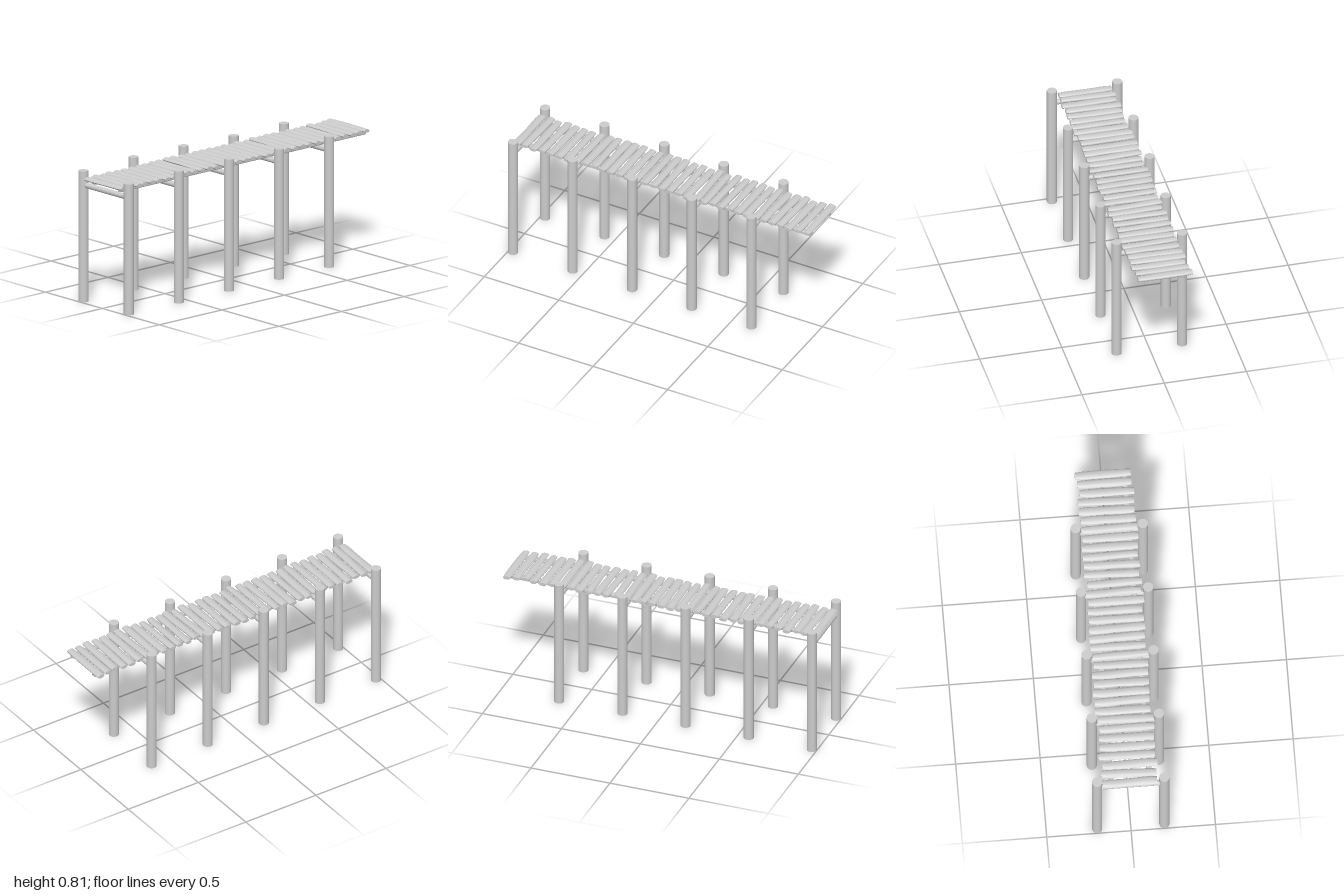
import * as THREE from 'three';
import { RoundedBoxGeometry } from 'three/addons/geometries/RoundedBoxGeometry.js';

const material = new THREE.MeshStandardMaterial({ color: 0xcccccc });

// small seeded generator, returns -1..1
let seed = 7;
const jitter = () => {
  seed = (seed * 16807) % 2147483647;
  return (seed / 2147483647) * 2 - 1;
};

function add(parent, name, geometry, x, y, z) {
  const mesh = new THREE.Mesh(geometry, material);
  mesh.name = name;
  mesh.position.set(x, y, z);
  parent.add(mesh);
  return mesh;
}

// flattened log lying along x, slightly bowed, swelling in the middle and worn at the ends
function plankGeometry(length, halfWidth, halfHeight) {
  const g = new THREE.CylinderGeometry(1, 1, length, 12, 8);
  g.rotateZ(Math.PI / 2);
  const p = g.attributes.position;
  const phase = jitter() * 3, bow = jitter() * 0.0015, taper = jitter() * 0.05;
  for (let i = 0; i < p.count; i++) {
    const t = p.getX(i) / (length / 2);
    const end = Math.abs(t) > 0.99 ? 0.86 : 1;
    const swell = end * (1 + taper * t + 0.04 * Math.sin(t * 4 + phase));
    p.setY(i, p.getY(i) * halfHeight * swell + bow * (1 - t * t));
    p.setZ(i, p.getZ(i) * halfWidth * swell + bow * Math.sin(t * 3));
  }
  g.computeVertexNormals();
  return g;
}

export function createModel() {
  const model = new THREE.Group();
  model.name = 'pier';
  seed = 7;

  // pairs of posts, each joined by a round crossbeam
  const tops = [0.80, 0.812, 0.807, 0.797, 0.80];
  tops.forEach((top, i) => {
    const z = 0.97 - i * 0.4;
    for (const side of [-1, 1]) {
      const h = top - (side > 0 && i === 1 ? 0.005 : 0);
      add(model, side > 0 ? 'leftPost' : 'rightPost',
        new THREE.CylinderGeometry(0.03, 0.03, h, 24), side * 0.199, h / 2, z);
    }
    const beam = new THREE.CylinderGeometry(0.0165, 0.0165, 0.345, 16);
    beam.rotateZ(Math.PI / 2);
    add(model, 'crossbeam', beam, 0, 0.7135, z);
  });

  // two long stringers under the deck
  for (const side of [-1, 1]) {
    add(model, side > 0 ? 'leftStringer' : 'rightStringer',
      new RoundedBoxGeometry(0.032, 0.023, 1.96, 3, 0.007), side * 0.115, 0.7415, -0.01);
  }

  // uneven deck planks
  const deck = new THREE.Group();
  deck.name = 'deck';
  model.add(deck);
  const count = 35;
  for (let i = 0; i < count; i++) {
    const edge = i === 0 || i === count - 1;
    const plank = add(deck, 'plank',
      plankGeometry(0.328 + jitter() * 0.006, 0.0255 + jitter() * 0.0015, 0.0125),
      -0.004 + jitter() * 0.009, 0.757 + jitter() * 0.002, 0.97 - i * (1.943 / (count - 1)));
    plank.rotation.set(jitter() * 0.08, edge ? 0.005 : jitter() * 0.025, jitter() * 0.012);
  }
  return model;
}
